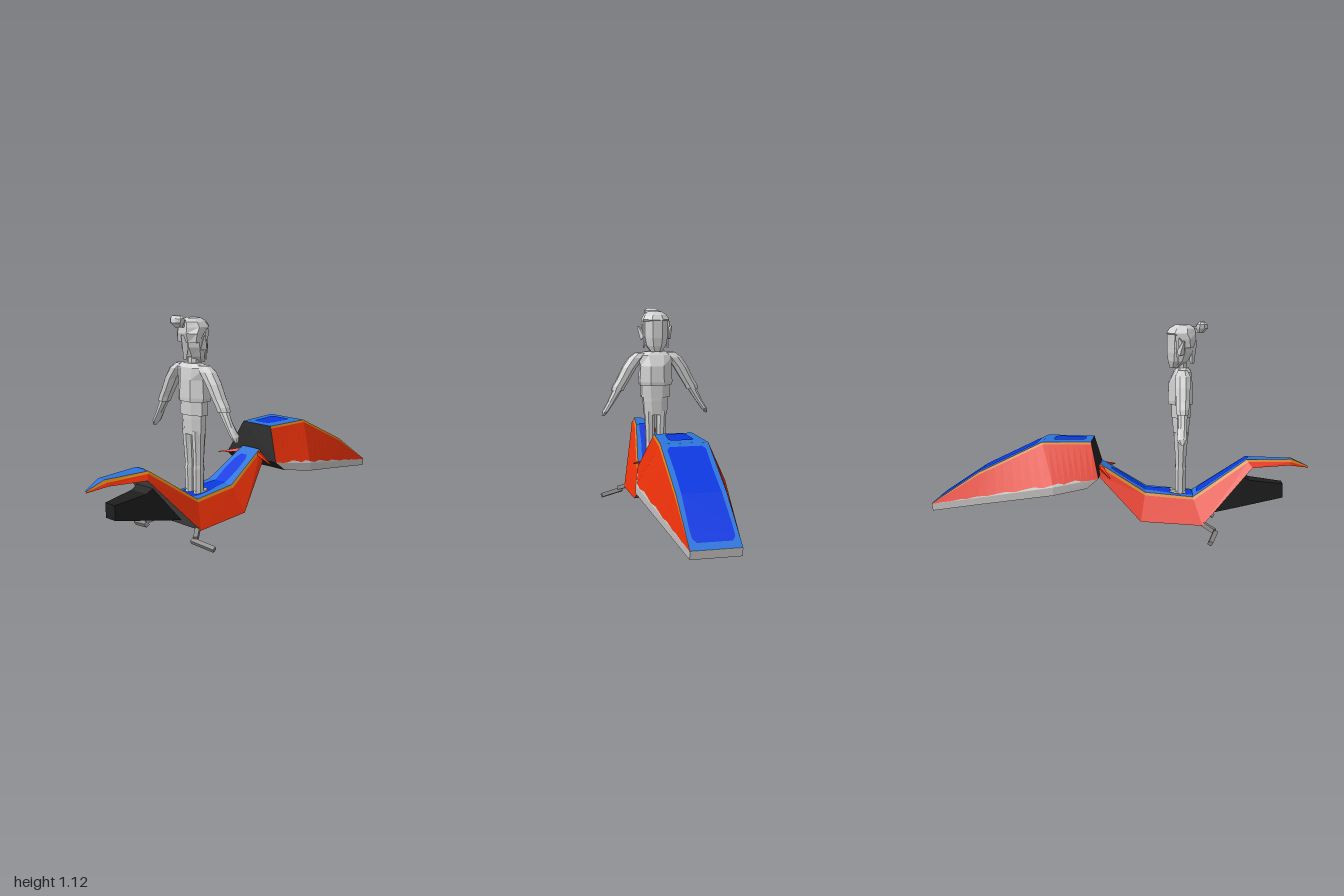
import * as THREE from 'three';

const paint = (name, color) => {
  const m = new THREE.MeshStandardMaterial({ color });
  m.name = name;
  return m;
};
const V = (x, y, z) => new THREE.Vector3(x, y, z);
const mirror = (pts) => pts.map((p) => V(p.x, p.y, -p.z));

export function createModel() {
  const red = paint('red', 0xea3009);
  const blue = paint('blue', 0x2c74da);
  const deepBlue = paint('deep blue', 0x0a38e0);
  const orange = paint('orange', 0xd9861a);
  const grey = paint('trim grey', 0xc2c0be);
  const pale = paint('rider grey', 0xd0d0d0);
  const dark = paint('underside grey', 0x625f5f);
  const black = paint('engine black', 0x1e1e1e);
  const steel = paint('pedal grey', 0x8a8887);

  const model = new THREE.Group();
  const group = (name) => {
    const g = new THREE.Group();
    g.name = name;
    model.add(g);
    return g;
  };
  const bike = group('speeder'), rider = group('rider');

  // flat-shaded ribbon between two polylines; b lies "above" a when a runs to the right
  function strip(parent, name, mat, a, b) {
    const out = [];
    const tri = (p, q, r) => {
      if (p.distanceTo(q) > 1e-6 && q.distanceTo(r) > 1e-6 && r.distanceTo(p) > 1e-6)
        for (const v of [p, q, r]) out.push(v.x, v.y, v.z);
    };
    for (let i = 0; i + 1 < a.length; i++) {
      tri(a[i], a[i + 1], b[i + 1]);
      tri(a[i], b[i + 1], b[i]);
    }
    const g = new THREE.BufferGeometry();
    g.setAttribute('position', new THREE.Float32BufferAttribute(out, 3));
    g.computeVertexNormals();
    const mesh = new THREE.Mesh(g, mat);
    mesh.name = name;
    parent.add(mesh);
  }
  // ribbon on the left flank plus its mirrored twin
  function flank(name, mat, low, high) {
    strip(bike, name + 'Left', mat, low, high);
    strip(bike, name + 'Right', mat, mirror(high), mirror(low));
  }
  // spans across the body; an edge listed top to bottom faces +x, bottom to top faces -x
  const over = (name, mat, edge) => strip(bike, name, mat, edge, mirror(edge));
  const under = (name, mat, edge) => strip(bike, name, mat, mirror(edge), edge);
  const line = (rows) => rows.map((r) => V(...r));
  // edge line dropped a fixed distance from the top edge down the flank
  const drop = (top, low, d) => top.map((p, i) => p.clone().lerp(low[i], Math.min(0.6, d / p.distanceTo(low[i]))));

  // thin inlay following the slope of a top edge
  function inlay(name, edge, rows) {
    const pts = rows.map(([x, w]) => {
      let i = 0;
      while (i < edge.length - 2 && edge[i + 1].x < x) i++;
      const t = (x - edge[i].x) / (edge[i + 1].x - edge[i].x);
      return V(x, THREE.MathUtils.lerp(edge[i].y, edge[i + 1].y, t) + 0.004, w);
    });
    over(name, deepBlue, pts);
  }

  // rear body: narrow blue deck, orange piping, red flanks, wide flat belly
  const deck = line([[-1, 0.36, 0.003], [-0.91, 0.4, 0.022], [-0.67, 0.4, 0.05], [-0.39, 0.205, 0.09], [-0.14, 0.225, 0.085], [0.1, 0.37, 0.062]]);
  const belly = line([[-1, 0.352, 0.005], [-0.9, 0.37, 0.04], [-0.7, 0.362, 0.078], [-0.44, 0.07, 0.165], [-0.12, 0.085, 0.16], [0.11, 0.31, 0.08]]);
  const piping = drop(deck, belly, 0.017);
  over('deck', blue, deck);
  flank('deckPiping', orange, piping, deck);
  flank('bodySide', red, belly, piping);
  under('tailUnderside', red, belly.slice(0, 3));
  under('bodyBelly', dark, belly.slice(2));
  over('bodyFrontEnd', red, [deck[5], belly[5]]);
  inlay('tailInlay', deck, [[-0.68, 0.028], [-0.67, 0.034], [-0.55, 0.042], [-0.43, 0.058], [-0.41, 0.04]]);
  inlay('seatInlay', deck, [[-0.39, 0.05], [-0.36, 0.062], [-0.28, 0.06], [-0.2, 0.042], [-0.14, 0.036], [-0.06, 0.042], [0.02, 0.034], [0.045, 0.02]]);

  // front cowl: flat blue top, flared red flanks, upright grey rim
  const crown = line([[0.145, 0.495, 0.1], [0.4, 0.495, 0.12], [0.74, 0.33, 0.118], [1, 0.156, 0.117]]);
  const flare = line([[0.1, 0.315, 0.18], [0.33, 0.278, 0.23], [0.74, 0.2, 0.161], [1, 0.152, 0.117]]);
  const rim = line([[0.16, 0.265, 0.192], [0.33, 0.235, 0.23], [0.74, 0.163, 0.161], [0.995, 0.116, 0.117]]);
  const cowlPiping = drop(crown, flare, 0.014);
  over('cowlTop', blue, crown);
  flank('cowlPiping', orange, cowlPiping, crown);
  // ragged paint edge between red flank and grey rim
  const fine = (pts) => {
    const out = [];
    for (let i = 0; i < 3; i++) for (let k = 0; k < 8; k++) out.push(pts[i].clone().lerp(pts[i + 1], k / 8));
    return [...out, pts[3]];
  };
  const upper = fine(cowlPiping), lower = fine(flare);
  const ragged = lower.map((p, i) => p.clone().lerp(upper[i], i < 3 ? 0 : [0.02, 0.07, 0.05][i % 3]));
  flank('cowlSide', red, ragged, upper);
  flank('cowlChippedEdge', grey, lower, ragged);
  flank('cowlRim', grey, rim, flare);
  under('cowlUnderside', dark, rim);
  over('cowlNose', grey, [crown[3], flare[3], rim[3]]);
  over('cowlBack', black, [rim[0], flare[0], crown[0]]);
  inlay('cowlRearInlay', crown, [[0.18, 0.04], [0.2, 0.055], [0.33, 0.064], [0.35, 0.05]]);
  inlay('cowlFrontInlay', crown, [[0.43, 0.08], [0.45, 0.096], [0.6, 0.092], [0.74, 0.094], [0.9, 0.098], [0.95, 0.096], [0.97, 0.08]]);

  // box lofted along x from [x, top, bottom, half width]
  function beam(name, mat, rows) {
    const hi = rows.map(([x, t, b, w]) => V(x, t, w)), lo = rows.map(([x, t, b, w]) => V(x, b, w));
    over(name + 'Top', mat, hi);
    under(name + 'Bottom', mat, lo);
    flank(name + 'Side', mat, lo, hi);
    const n = rows.length - 1;
    over(name + 'Rear', mat, [lo[0], hi[0]]);
    over(name + 'Front', mat, [hi[n], lo[n]]);
  }
  beam('engine', black, [[-0.865, 0.27, 0.195, 0.035], [-0.69, 0.29, 0.158, 0.055], [-0.64, 0.32, 0.147, 0.06], [-0.46, 0.17, 0.105, 0.06]]);
  beam('neck', red, [[0.07, 0.335, 0.29, 0.055], [0.19, 0.395, 0.33, 0.062]]);

  // four-sided bar between two points
  function bar(parent, name, mat, a, b, r0, r1) {
    const d = b.clone().sub(a);
    const g = new THREE.CylinderGeometry(r1, r0, d.length(), 4).toNonIndexed();
    g.computeVertexNormals();
    const m = new THREE.Mesh(g, mat);
    m.name = name;
    m.position.copy(a).addScaledVector(d, 0.5);
    m.quaternion.setFromUnitVectors(V(0, 1, 0), d.normalize());
    parent.add(m);
  }
  for (const s of [1, -1]) {
    bar(bike, 'pedalArm', steel, V(-0.43, 0.082, s * 0.135), V(-0.5, 0.05, s * 0.19), 0.016, 0.016);
    bar(bike, 'footPedal', steel, V(-0.507, 0.038, s * 0.17), V(-0.475, 0.015, s * 0.295), 0.016, 0.016);
    bar(bike, 'handlebar', red, V(0.095, 0.348, s * 0.055), V(0.04, 0.322, s * 0.19), 0.015, 0.004);
  }

  // stacked eight-sided rings [y, x, z, x radius, z radius], bottom first
  function stack(name, rows, s = 1) {
    const full = [[...rows[0].slice(0, 3), 0, 0], ...rows, [...rows[rows.length - 1].slice(0, 3), 0, 0]];
    const rings = full.map(([y, x, z, rx, rz]) => Array.from({ length: 9 }, (_, i) => {
      const t = -(i % 8 + 0.5) * Math.PI / 4;
      return V(x + Math.cos(t) * rx * 1.08, y, s * z + Math.sin(t) * rz * 1.08);
    }));
    const part = new THREE.Group();
    part.name = name;
    rider.add(part);
    for (let i = 0; i + 1 < rings.length; i++) strip(part, name + 'Band' + i, pale, rings[i], rings[i + 1]);
  }
  const X = -0.325;
  stack('hips', [[0.52, X, 0, 0.04, 0.066], [0.6, X, 0, 0.045, 0.07], [0.63, X, 0, 0.045, 0.07]]);
  stack('belt', [[0.62, X, 0, 0.05, 0.082], [0.7, X, 0, 0.052, 0.08]]);
  stack('tunic', [[0.69, X + 0.004, 0, 0.064, 0.09], [0.71, X + 0.005, 0, 0.066, 0.094], [0.8, X + 0.005, 0, 0.062, 0.088], [0.86, X - 0.005, 0, 0.045, 0.105], [0.88, X - 0.005, 0, 0.03, 0.06]]);
  stack('neck', [[0.87, X, 0, 0.025, 0.03], [0.93, X, 0, 0.025, 0.03]]);
  stack('head', [[0.88, X + 0.035, 0, 0.028, 0.03], [0.915, X + 0.02, 0, 0.052, 0.055], [0.96, X + 0.012, 0, 0.066, 0.064], [1.06, X + 0.008, 0, 0.07, 0.064]]);
  stack('hair', [[0.985, X - 0.03, 0, 0.03, 0.066], [1.03, X - 0.018, 0, 0.056, 0.074], [1.06, X + 0.006, 0, 0.076, 0.074], [1.085, X, 0, 0.066, 0.06], [1.103, X - 0.002, 0, 0.038, 0.035]]);
  stack('hairTie', [[1.06, X - 0.075, 0, 0.02, 0.014], [1.095, X - 0.07, 0, 0.02, 0.014]]);
  stack('hairBun', [[1.06, -0.42, 0, 0.014, 0.018], [1.085, -0.428, 0, 0.032, 0.036], [1.105, -0.428, 0, 0.028, 0.04], [1.118, -0.43, 0, 0.014, 0.025]]);
  for (const s of [1, -1]) {
    stack('leg', [[0.21, X, 0.03, 0.026, 0.022], [0.34, X, 0.031, 0.03, 0.025], [0.36, X, 0.031, 0.026, 0.024], [0.54, X, 0.035, 0.038, 0.027]], s);
    stack('shoe', [[0.2, X + 0.018, 0.03, 0.05, 0.024], [0.225, X + 0.012, 0.03, 0.04, 0.022]], s);
    stack('sleeve', [[0.66, X - 0.005, 0.218, 0.03, 0.034], [0.685, X - 0.005, 0.208, 0.032, 0.036], [0.72, X - 0.005, 0.186, 0.034, 0.036], [0.79, X - 0.005, 0.148, 0.038, 0.04], [0.845, X - 0.005, 0.108, 0.038, 0.044], [0.873, X - 0.005, 0.08, 0.024, 0.034]], s);
    stack('forearm', [[0.59, X - 0.005, 0.258, 0.02, 0.019], [0.67, X - 0.005, 0.212, 0.024, 0.026]], s);
    stack('hand', [[0.52, X - 0.002, 0.3, 0.01, 0.008], [0.545, X, 0.287, 0.024, 0.016], [0.6, X - 0.003, 0.252, 0.022, 0.019]], s);
    bar(rider, 'ear', pale, V(X + 0.01, 0.955, s * 0.066), V(X - 0.01, 1.02, s * 0.095), 0.022, 0.006);
    bar(rider, 'sideLock', pale, V(X + 0.025, 1.05, s * 0.066), V(X + 0.02, 0.9, s * 0.068), 0.014, 0.005);
  }
  bar(rider, 'napeHair', pale, V(X - 0.05, 1.02, 0), V(X - 0.055, 0.9, 0), 0.03, 0.01);
  return model;
}
